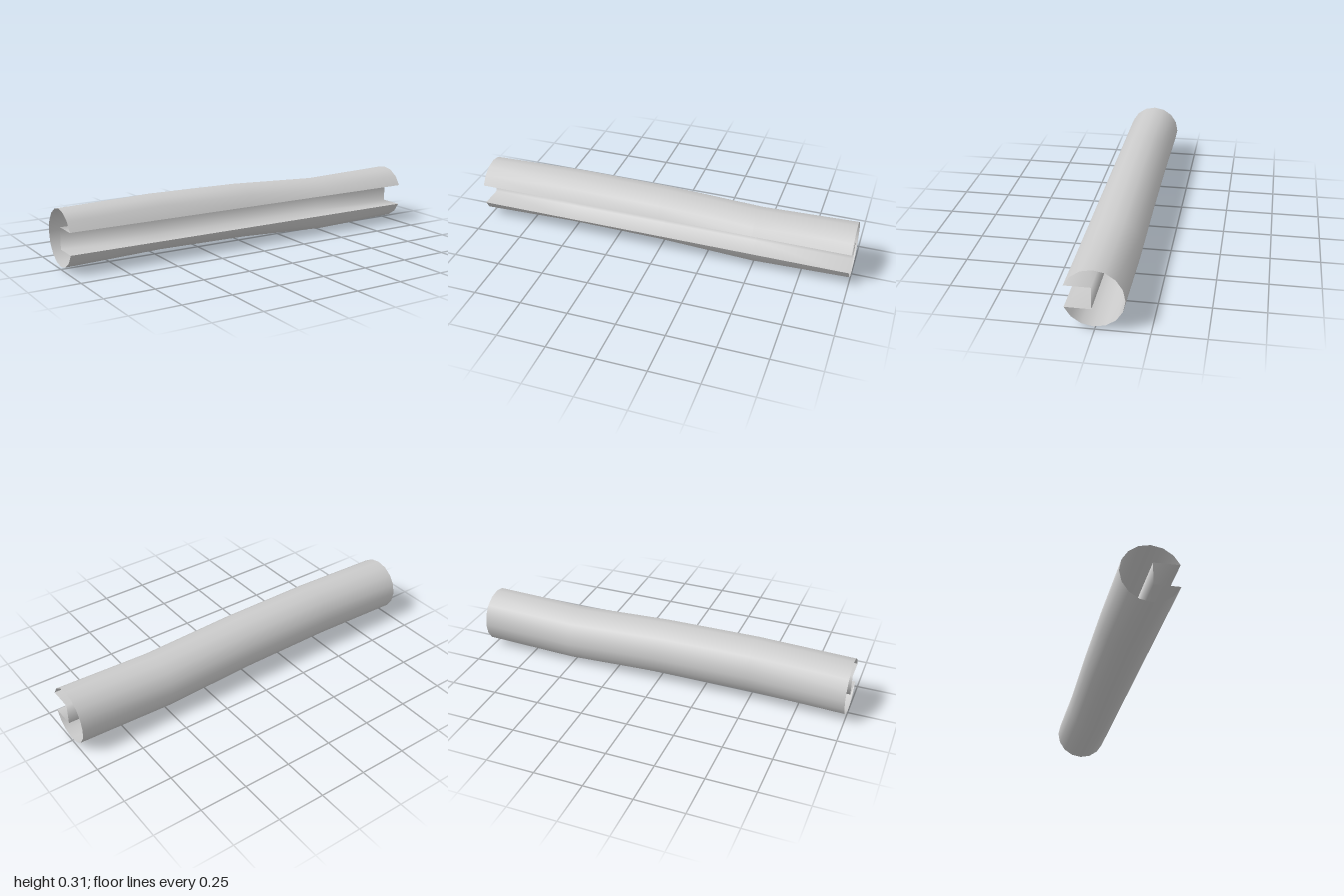
import * as THREE from 'three';

const CENTRE_Y = 0.157, CENTRE_Z = 0.005, RADIUS = 0.143, SIDES = 16;
const SLOT_DEPTH = 0.124;
const STATIONS = [-1, -0.5, 0, 0.5, 1];
const WAVE = [0, 0.014, 0.009, -0.014, 0]; // vertical sway at each station

// Sweep a (y, z) profile along x; sway(i, j) lifts profile point i at station j
function sweep(name, profile, sway, material) {
  const n = STATIONS.length;
  const positions = [], index = [];
  profile.forEach(([y, z], i) => {
    STATIONS.forEach((x, j) => {
      positions.push(x, y + sway(i, j), z);
      if (i < profile.length - 1 && j < n - 1) {
        const a = i * n + j;
        index.push(a, a + 1, a + n, a + 1, a + n + 1, a + n);
      }
    });
  });
  const geometry = new THREE.BufferGeometry();
  geometry.setAttribute('position', new THREE.Float32BufferAttribute(positions, 3));
  geometry.setIndex(index);
  geometry.computeVertexNormals();
  const mesh = new THREE.Mesh(geometry, material);
  mesh.name = name;
  return mesh;
}

export function createModel() {
  const group = new THREE.Group();
  group.name = 'slottedTube';
  const material = new THREE.MeshStandardMaterial({ color: 0xcccccc, side: THREE.DoubleSide });

  // Outer tube: a 16-sided ring missing its front corner
  const ring = [];
  for (let i = 1; i < SIDES; i++) {
    const a = (i / SIDES) * Math.PI * 2;
    ring.push([CENTRE_Y + RADIUS * Math.sin(a), CENTRE_Z + RADIUS * Math.cos(a)]);
  }
  const last = ring.length - 1;
  // The slot lips stay straight while the rest of the tube sways
  group.add(sweep('tubeWall', ring, (i, j) => (i === 0 || i === last ? 0 : WAVE[j]), material));

  // Straight square channel folded inward from the slot lips
  const [topY, lipZ] = ring[0];
  const bottomY = ring[last][0];
  const backZ = lipZ - SLOT_DEPTH;
  const channel = [[bottomY, lipZ], [bottomY, backZ], [topY, backZ], [topY, lipZ]];
  group.add(sweep('slotChannel', channel, () => 0, material));

  return group;
}
